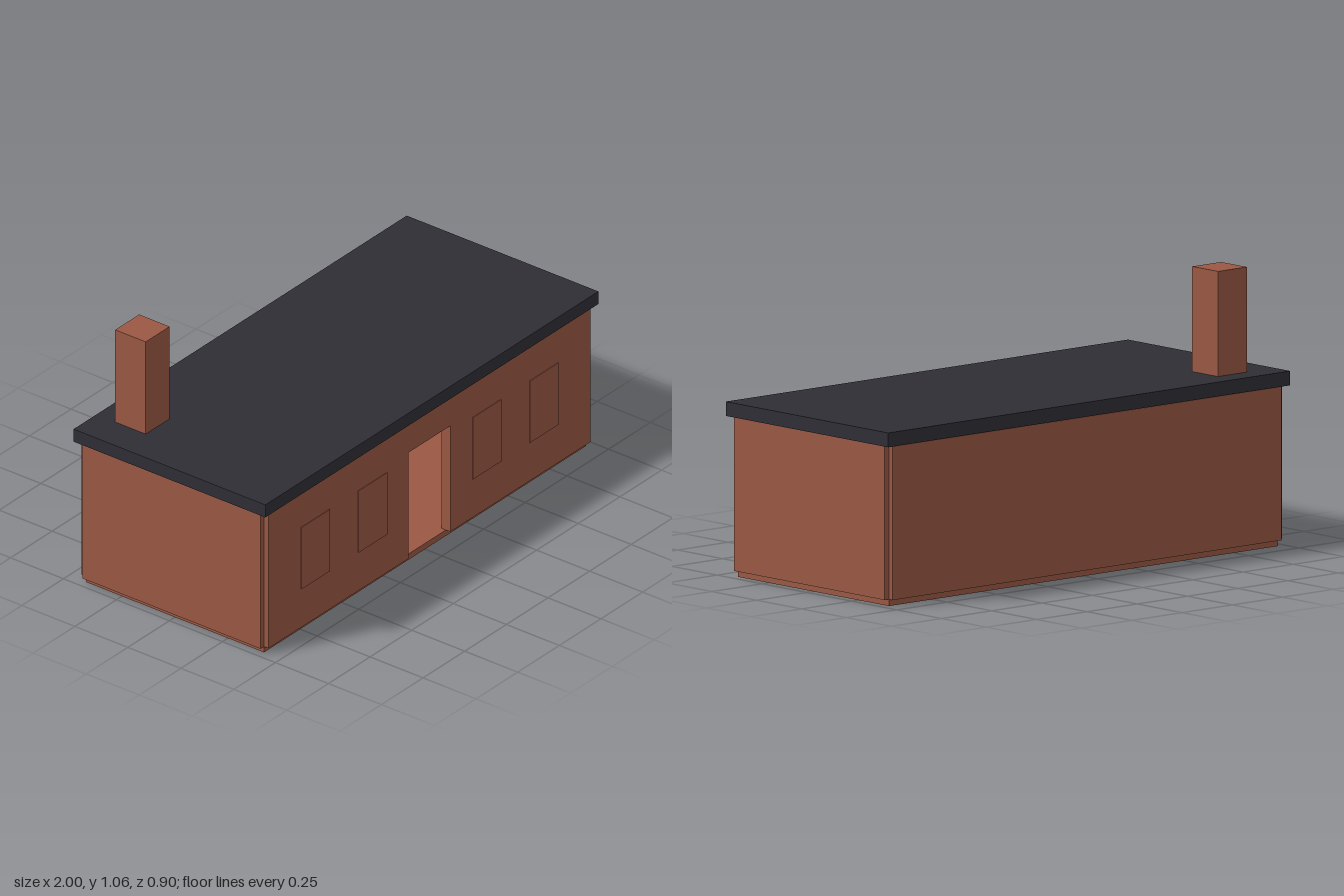
import * as THREE from 'three';

const BRICK = new THREE.MeshStandardMaterial({ color: 0x9a5843 });
const SLATE = new THREE.MeshStandardMaterial({ color: 0x2f2e35 });

// Box given by its extents on each axis
function block(name, [x0, x1], [y0, y1], [z0, z1], material = BRICK) {
  const mesh = new THREE.Mesh(new THREE.BoxGeometry(x1 - x0, y1 - y0, z1 - z0), material);
  mesh.position.set((x0 + x1) / 2, (y0 + y1) / 2, (z0 + z1) / 2);
  mesh.name = name;
  return mesh;
}

export function createModel() {
  const house = new THREE.Group();
  house.name = 'house';

  const W = 0.967, D = 0.42;            // floor half sizes
  const T = 0.021;                      // half wall thickness
  const FLOOR = 0.025, TOP = 0.603;

  house.add(block('floor', [-W, W], [0, FLOOR], [-D, D]));

  // Walls centred on the floor edges, leaving notched corners
  house.add(block('backWall', [-W, W], [FLOOR, TOP], [-D - T, -D + T]));
  for (const [side, s] of [['left', 1], ['right', -1]]) {
    house.add(block(side + 'Wall', [s * W - T, s * W + T], [FLOOR, TOP], [-D, D]));
  }

  // Front wall with an open doorway down to the floor
  const front = new THREE.Shape([
    [-W, FLOOR], [-0.125, FLOOR], [-0.125, 0.48], [0.125, 0.48],
    [0.125, FLOOR], [W, FLOOR], [W, TOP], [-W, TOP],
  ].map(([x, y]) => new THREE.Vector2(x, y)));
  const frontWall = new THREE.Mesh(
    new THREE.ExtrudeGeometry(front, { depth: 2 * T, bevelEnabled: false }), BRICK);
  frontWall.position.z = D - T;
  frontWall.name = 'frontWall';
  house.add(frontWall);

  // Window panels standing slightly proud of the front wall
  for (const x of [-0.686, -0.343, 0.343, 0.686]) {
    house.add(block('window', [x - 0.086, x + 0.086], [0.19, 0.455], [D - T - 0.003, D + T + 0.003]));
  }

  // Flat roof slab and chimney
  house.add(block('roof', [-1, 1], [0.606, 0.66], [-0.452, 0.452], SLATE));
  house.add(block('chimney', [-0.864, -0.72], [0.65, 1.056], [-0.363, -0.219]));

  return house;
}
